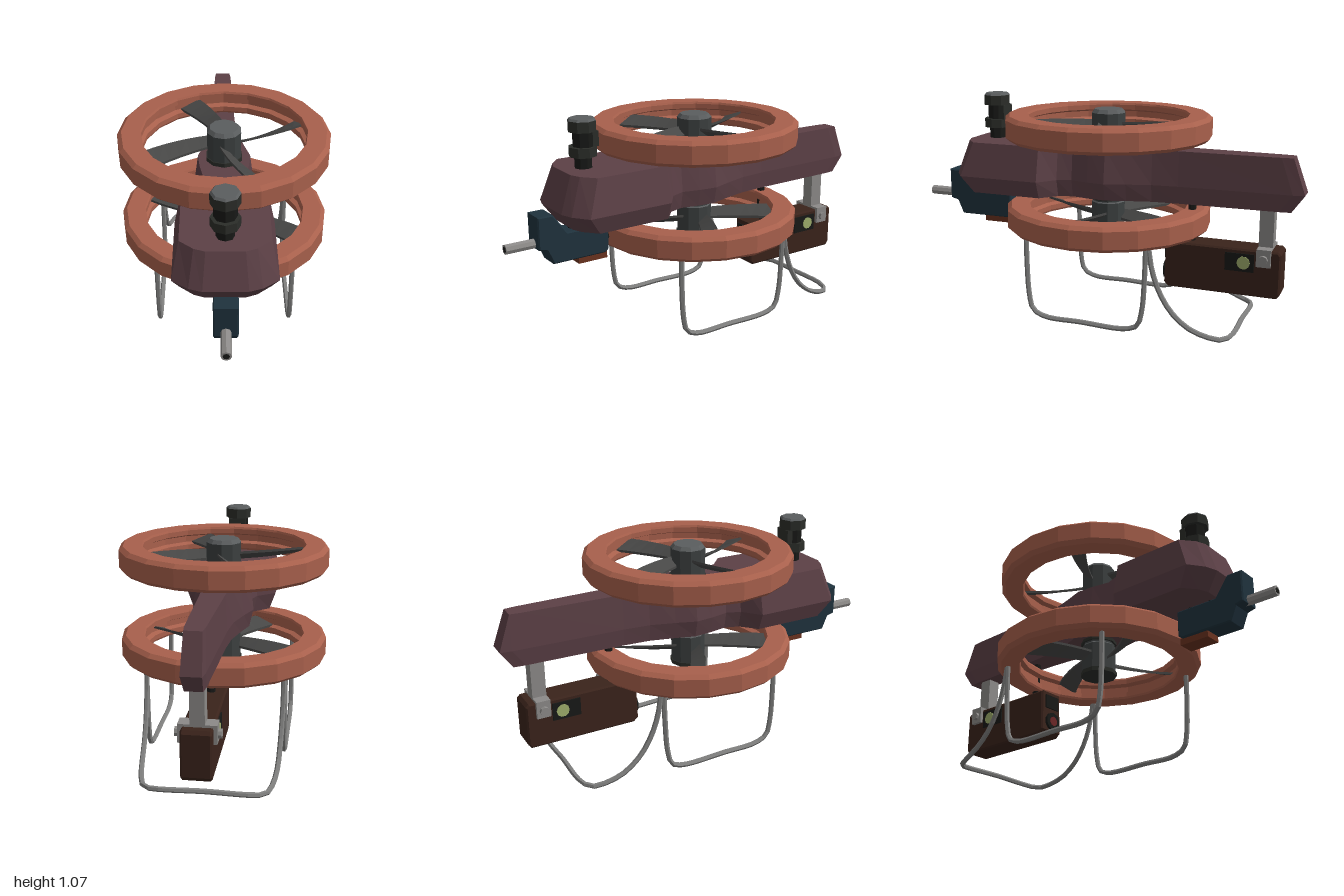
import * as THREE from 'three';

const mat = (color) => new THREE.MeshStandardMaterial({ color, flatShading: true });
const M = {
  ring: mat(0xa8604c), body: mat(0x5c4046), dark: mat(0x2b2d29), black: mat(0x181917),
  hub: mat(0x3c4040), cap: mat(0x5a5d5e), blade: mat(0x474746), rod: mat(0x80807f),
  steel: mat(0x8c8a88), gun: mat(0x1f323d), brown: mat(0x3a231b), rust: mat(0x6b3320),
  lens: mat(0x9fae6c), red: mat(0x6b2626),
};
const ROTOR_Z = -0.02;

function add(parent, name, geo, material, x = 0, y = 0, z = 0) {
  const m = new THREE.Mesh(geo, material);
  m.name = name;
  m.position.set(x, y, z);
  parent.add(m);
  return m;
}
const box = (g, name, m, sx, sy, sz, x, y, z) =>
  add(g, name, new THREE.BoxGeometry(sx, sy, sz), m, x, y, z);

// Upright cylinder between two heights
const post = (g, name, m, r, y0, y1, z, n = 8, rTop = r) =>
  add(g, name, new THREE.CylinderGeometry(rTop, r, y1 - y0, n), m, 0, (y0 + y1) / 2, z);

// Cylinder lying along x or z
function rod(g, name, m, r, len, axis, x, y, z, n = 8) {
  const geo = new THREE.CylinderGeometry(r, r, len, n);
  if (axis === 'x') geo.rotateZ(Math.PI / 2); else geo.rotateX(Math.PI / 2);
  return add(g, name, geo, m, x, y, z);
}

// Side profile of [z, y] points, extruded across x
function sideExtrude(points, width, bevel) {
  const shape = new THREE.Shape(points.map(([z, y]) => new THREE.Vector2(z, y)));
  const depth = width - 2 * bevel;
  return new THREE.ExtrudeGeometry(shape, {
    depth, bevelEnabled: bevel > 0, bevelSize: bevel, bevelOffset: -bevel,
    bevelThickness: bevel, bevelSegments: 1,
  }).translate(0, 0, -depth / 2).rotateY(-Math.PI / 2);
}

// Fuselage: hexagonal sections from nose to tail
function bodyGeometry() {
  const plan = [[0.765, 0.1], [0.745, 0.16], [0.69, 0.235], [0.27, 0.235], [0.2, 0.145], [0.13, 0.12],
    [0.04, 0.14], [-0.05, 0.15], [-0.15, 0.115], [-0.27, 0.08], [-0.4, 0.068], [-0.94, 0.052], [-0.995, 0.045]];
  const levels = [[0.59, 0.87, 0.06], [0.675, 1, 0], [0.845, 0.85, 0.06]];
  const pos = [], idx = [];
  for (const [z, w] of plan) {
    const right = levels.map(([y, s, inset]) =>
      [w * s, y, Math.abs(z) > 0.6 ? z - Math.sign(z) * inset : z]);
    const left = right.map(([x, y, zz]) => [-x, y, zz]).reverse();
    pos.push(...right.flat(), ...left.flat());
  }
  for (let i = 0; i < plan.length - 1; i++) {
    for (let j = 0; j < 6; j++) {
      const a = i * 6 + j, b = i * 6 + (j + 1) % 6;
      idx.push(a, a + 6, b, b, a + 6, b + 6);
    }
  }
  const last = (plan.length - 1) * 6;
  for (const [a, b, c, d] of [[0, 1, 4, 5], [1, 2, 3, 4]]) {
    idx.push(a, b, c, a, c, d);
    idx.push(last + a, last + c, last + b, last + a, last + d, last + c);
  }
  const geo = new THREE.BufferGeometry();
  geo.setAttribute('position', new THREE.Float32BufferAttribute(pos, 3));
  geo.setIndex(idx);
  geo.computeVertexNormals();
  return geo;
}

// Swept, twisted blade running out along x; dir mirrors its sweep
function bladeGeometry(dir) {
  const geo = new THREE.BoxGeometry(1, 0.012, 1, 6, 1, 1);
  const p = geo.attributes.position;
  for (let i = 0; i < p.count; i++) {
    const t = p.getX(i) + 0.5;
    const across = p.getZ(i) * (0.055 + 0.05 * t);
    const tilt = dir * (0.65 - 0.3 * t);
    const sweep = -dir * (0.06 * t * t - 0.025);
    p.setXYZ(i, 0.06 + 0.345 * t, p.getY(i) + across * Math.sin(tilt), across * Math.cos(tilt) + sweep);
  }
  geo.computeVertexNormals();
  return geo;
}

// Ducted rotor: shroud ring, hub and four blades, centred on its own height
function rotor(name, y, dir) {
  const g = new THREE.Group();
  g.name = name;
  g.position.set(0, y, ROTOR_Z);
  const profile = [[0.4, -0.06], [0.49, -0.06], [0.51, -0.042], [0.51, 0.042], [0.49, 0.06], [0.4, 0.06],
    [0.395, 0.05], [0.395, 0.025], [0.42, 0.015], [0.42, -0.015], [0.395, -0.025], [0.395, -0.05], [0.4, -0.06]]
    .map(([r, h]) => new THREE.Vector2(r, h));
  add(g, 'shroudRing', new THREE.LatheGeometry(profile, 20), M.ring);
  post(g, 'hub', M.hub, 0.085, -0.085, 0.065, 0, 10);
  post(g, 'hubCap', M.cap, 0.085, 0.065, 0.083, 0, 10, 0.07);
  for (let k = 0; k < 4; k++) {
    const b = add(g, 'blade', bladeGeometry(dir), M.blade);
    b.rotation.y = dir * THREE.MathUtils.degToRad(20) + k * Math.PI / 2;
  }
  return g;
}

function tube(g, name, points) {
  const curve = new THREE.CatmullRomCurve3(points.map((p) => new THREE.Vector3(...p)), false, 'centripetal');
  add(g, name, new THREE.TubeGeometry(curve, 36, 0.0125, 6), M.rod);
}

export function createModel() {
  const model = new THREE.Group();
  add(model, 'fuselage', bodyGeometry(), M.body);

  // Rotors and the shaft joining them
  model.add(rotor('upperRotor', 0.94, 1), rotor('lowerRotor', 0.495, -1));
  post(model, 'rotorShaft', M.hub, 0.08, 0.41, 0.87, ROTOR_Z, 10);
  for (const y of [0.415, 0.585, 0.86])
    post(model, 'shaftFlange', M.dark, 0.09, y - 0.01, y + 0.01, ROTOR_Z, 10);

  // Sensor turret on the nose
  const turret = new THREE.Group();
  turret.name = 'sensorTurret';
  model.add(turret);
  post(turret, 'stem', M.black, 0.042, 0.82, 0.91, 0.595);
  post(turret, 'lowerDrum', M.dark, 0.067, 0.9, 0.945, 0.595);
  post(turret, 'window', M.black, 0.052, 0.945, 1.015, 0.59);
  box(turret, 'windowBack', M.dark, 0.09, 0.07, 0.03, 0, 0.98, 0.55);
  post(turret, 'upperDrum', M.dark, 0.067, 1.015, 1.065, 0.595);
  post(turret, 'turretCap', M.cap, 0.067, 1.065, 1.075, 0.595, 8, 0.058);

  // Gun under the nose
  const gun = new THREE.Group();
  gun.name = 'noseGun';
  model.add(gun);
  add(gun, 'housing', sideExtrude([[0.86, 0.665], [0.785, 0.665], [0.715, 0.57], [0.505, 0.57], [0.505, 0.445],
    [0.525, 0.43], [0.79, 0.43], [0.82, 0.5], [0.86, 0.51]], 0.11, 0.006), M.gun);
  rod(gun, 'barrel', M.steel, 0.024, 0.16, 'z', 0, 0.53, 0.92);
  rod(gun, 'bore', M.black, 0.015, 0.004, 'z', 0, 0.53, 0.999);
  rod(gun, 'rearKnob', M.black, 0.025, 0.03, 'z', 0, 0.495, 0.492);
  box(gun, 'underPlate', M.rust, 0.085, 0.035, 0.15, 0, 0.417, 0.585);
  for (const z of [0.555, 0.665]) post(gun, 'mount', M.black, 0.022, 0.55, 0.61, z);

  // Camera pod under the tail
  const pod = new THREE.Group();
  pod.name = 'cameraPod';
  model.add(pod);
  add(pod, 'podCase', sideExtrude([[-0.345, 0.4], [-0.89, 0.4], [-0.905, 0.385], [-0.905, 0.19], [-0.89, 0.17],
    [-0.36, 0.17], [-0.338, 0.19]], 0.136, 0.008), M.brown);
  rod(pod, 'frontLens', M.black, 0.046, 0.02, 'z', 0, 0.24, -0.335, 10);
  rod(pod, 'lensCore', M.red, 0.025, 0.004, 'z', 0, 0.24, -0.324, 10);
  box(pod, 'frontPanel', M.black, 0.09, 0.07, 0.008, 0, 0.345, -0.339);
  post(pod, 'frontPost', M.black, 0.02, 0.39, 0.61, -0.455);
  box(pod, 'bracketPost', M.steel, 0.065, 0.2, 0.068, 0, 0.505, -0.825);
  box(pod, 'bracketTop', M.steel, 0.17, 0.012, 0.068, 0, 0.405, -0.825);
  for (const s of [-1, 1]) {
    box(pod, 'bracketArm', M.steel, 0.018, 0.085, 0.068, s * 0.076, 0.368, -0.825);
    rod(pod, 'bracketBolt', M.steel, 0.022, 0.03, 'x', s * 0.086, 0.363, -0.825);
    box(pod, 'sidePanel', M.black, 0.012, 0.088, 0.14, s * 0.068, 0.335, -0.71);
    rod(pod, 'sideLens', M.lens, 0.032, 0.016, 'x', s * 0.07, 0.335, -0.73, 10);
  }

  // Landing skids: one loop per side, one across the back
  for (const s of [-1, 1]) {
    tube(model, 'sideSkid', [[0.28, 0.45], [0.278, 0.28], [0.27, 0.14], [0.25, 0.06], [0.19, 0.03], [0, 0.027],
      [-0.23, 0.026], [-0.29, 0.05], [-0.314, 0.13], [-0.325, 0.28], [-0.33, 0.45]].map(([z, y]) => [s * 0.33, y, z]));
  }
  const half = [[0.325, 0.45, -0.34], [0.325, 0.33, -0.36], [0.323, 0.22, -0.4], [0.32, 0.13, -0.46],
    [0.315, 0.065, -0.54], [0.3, 0.03, -0.63], [0.275, 0.018, -0.69], [0.22, 0.024, -0.718]];
  tube(model, 'rearSkid', [...half, [0, 0.028, -0.72], ...half.map(([x, y, z]) => [-x, y, z]).reverse()]);
  return model;
}
